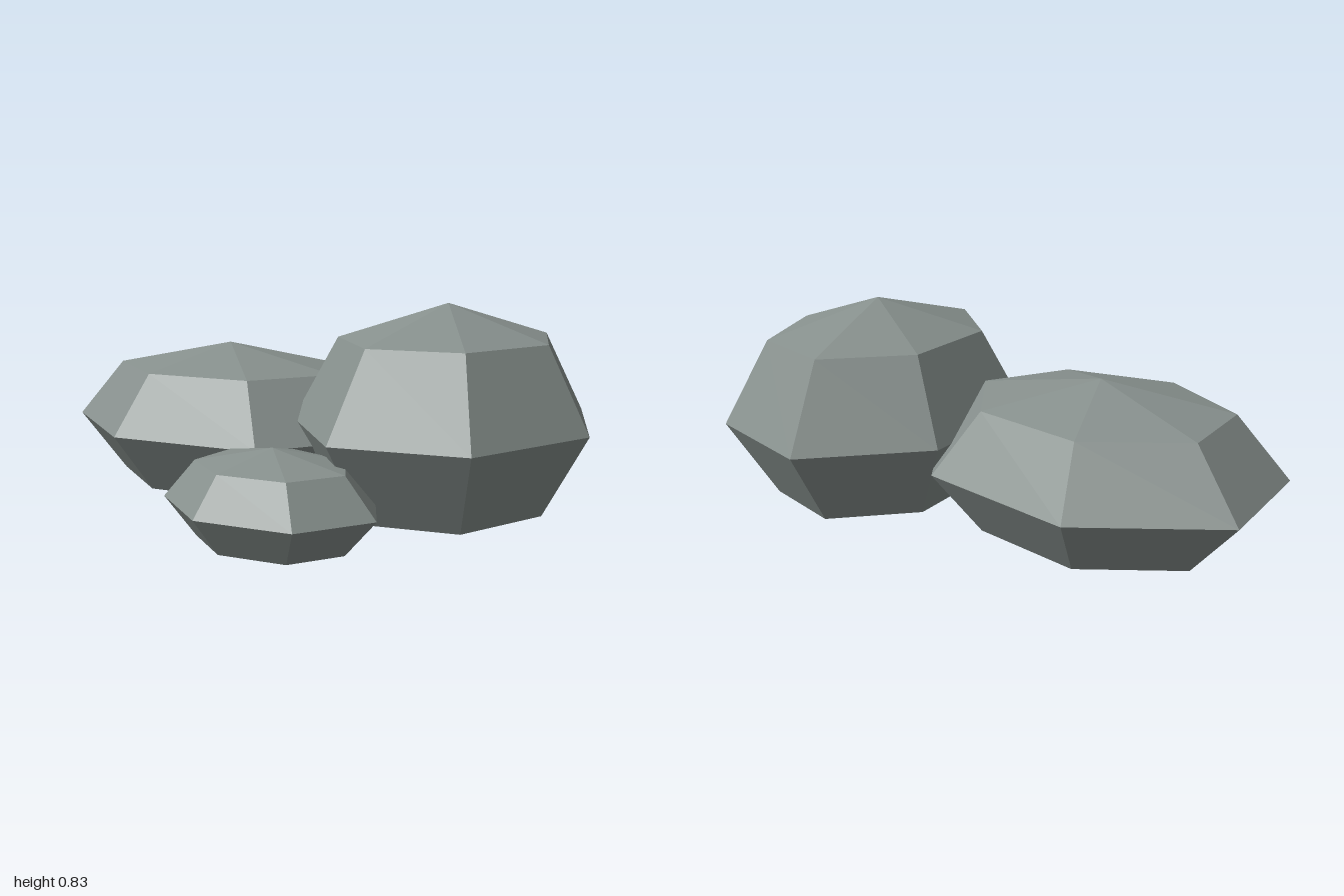
import * as THREE from 'three';

// Cluster of three faceted boulders resting against each other
export function createModel() {
  const group = new THREE.Group();
  group.name = 'boulderCluster';

  const stone = new THREE.MeshStandardMaterial({ color: 0x87908d, flatShading: true });
  stone.name = 'greyStone';

  // Seven-sided low-poly stone with one corner pointing to +x
  const stoneShape = new THREE.SphereGeometry(1, 7, 4, Math.PI);

  const addBoulder = (name, position, radii) => {
    const boulder = new THREE.Mesh(stoneShape, stone);
    boulder.name = name;
    boulder.position.set(...position);
    boulder.scale.set(...radii);
    group.add(boulder);
  };

  addBoulder('tallBoulder', [0.48, 0.413, -0.16], [0.52, 0.413, 0.615]);
  addBoulder('wideBoulder', [-0.4, 0.333, -0.06], [0.666, 0.308, 0.513]);
  addBoulder('smallBoulder', [0.171, 0.207, 0.455], [0.389, 0.183, 0.308]);

  return group;
}
